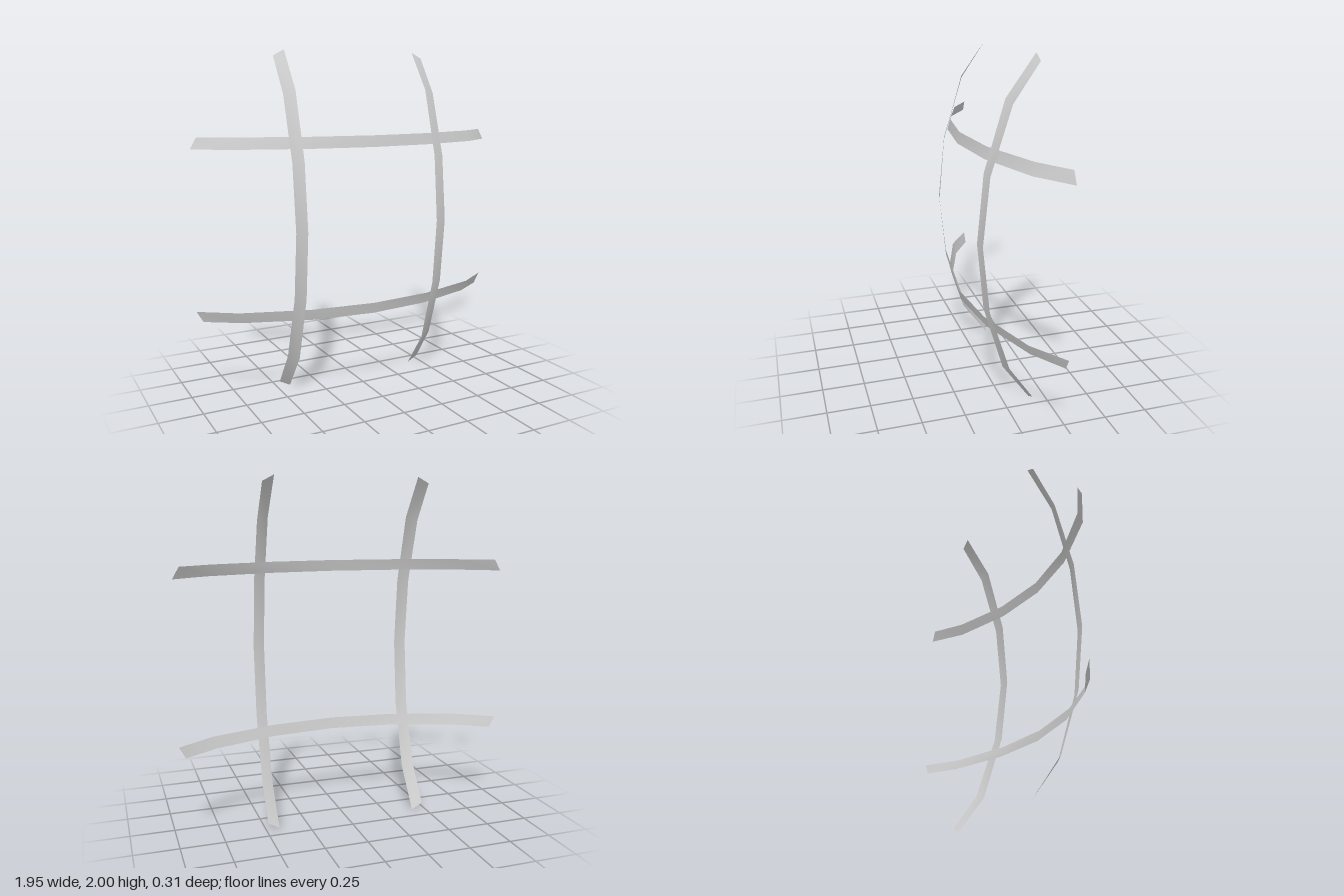
import * as THREE from 'three';

// Half profiles of a strip's two edges, from its middle to its tip: [along, z]
const RAIL = {
  inner: { offset: 0.457, points: [[0, 0.146], [0.385, 0.104], [0.77, -0.02], [0.975, -0.16]] },
  outer: { offset: 0.522, points: [[0, 0.132], [0.38, 0.088], [0.748, -0.038], [0.938, -0.16]] },
};
const POST = {
  inner: { offset: 0.42, points: [[0, 0.155], [0.39, 0.118], [0.775, 0.003], [1, -0.16]] },
  outer: { offset: 0.486, points: [[0, 0.142], [0.385, 0.102], [0.755, -0.016], [0.965, -0.16]] },
};

// Mirror a half profile into a full edge running from one tip to the other
const fullEdge = (points) => [
  ...points.slice(1).reverse().map(([a, z]) => [-a, z]),
  ...points,
];

// Thin curved strip lofted between its edges; place(along, across, z) gives a corner
function curvedStrip({ inner, outer }, side, reversed, place) {
  const positions = [];
  const indices = [];
  const innerEdge = fullEdge(inner.points);
  const outerEdge = fullEdge(outer.points);
  innerEdge.forEach(([a, z], i) => {
    positions.push(...place(a, side * inner.offset, z));
    positions.push(...place(outerEdge[i][0], side * outer.offset, outerEdge[i][1]));
    if (i === 0) return;
    const k = (i - 1) * 2;
    const quad = [k, k + 2, k + 3, k, k + 3, k + 1];
    indices.push(...(reversed ? quad.reverse() : quad));
  });
  const geometry = new THREE.BufferGeometry();
  geometry.setAttribute('position', new THREE.Float32BufferAttribute(positions, 3));
  geometry.setIndex(indices);
  geometry.computeVertexNormals();
  return geometry;
}

export function createModel() {
  const group = new THREE.Group();
  group.name = 'curvedLattice';
  const material = new THREE.MeshStandardMaterial({ color: 0xcccccc, side: THREE.DoubleSide });
  const add = (name, geometry) => {
    const mesh = new THREE.Mesh(geometry, material);
    mesh.name = name;
    group.add(mesh);
  };

  // Two horizontal strips and two vertical strips, crossing on one shallow dome
  for (const side of [1, -1]) {
    add(side > 0 ? 'upperStrip' : 'lowerStrip',
      curvedStrip(RAIL, side, side < 0, (a, c, z) => [a, 1 + c, z]));
    add(side > 0 ? 'leftStrip' : 'rightStrip',
      curvedStrip(POST, side, side > 0, (a, c, z) => [c, 1 + a, z]));
  }
  return group;
}
